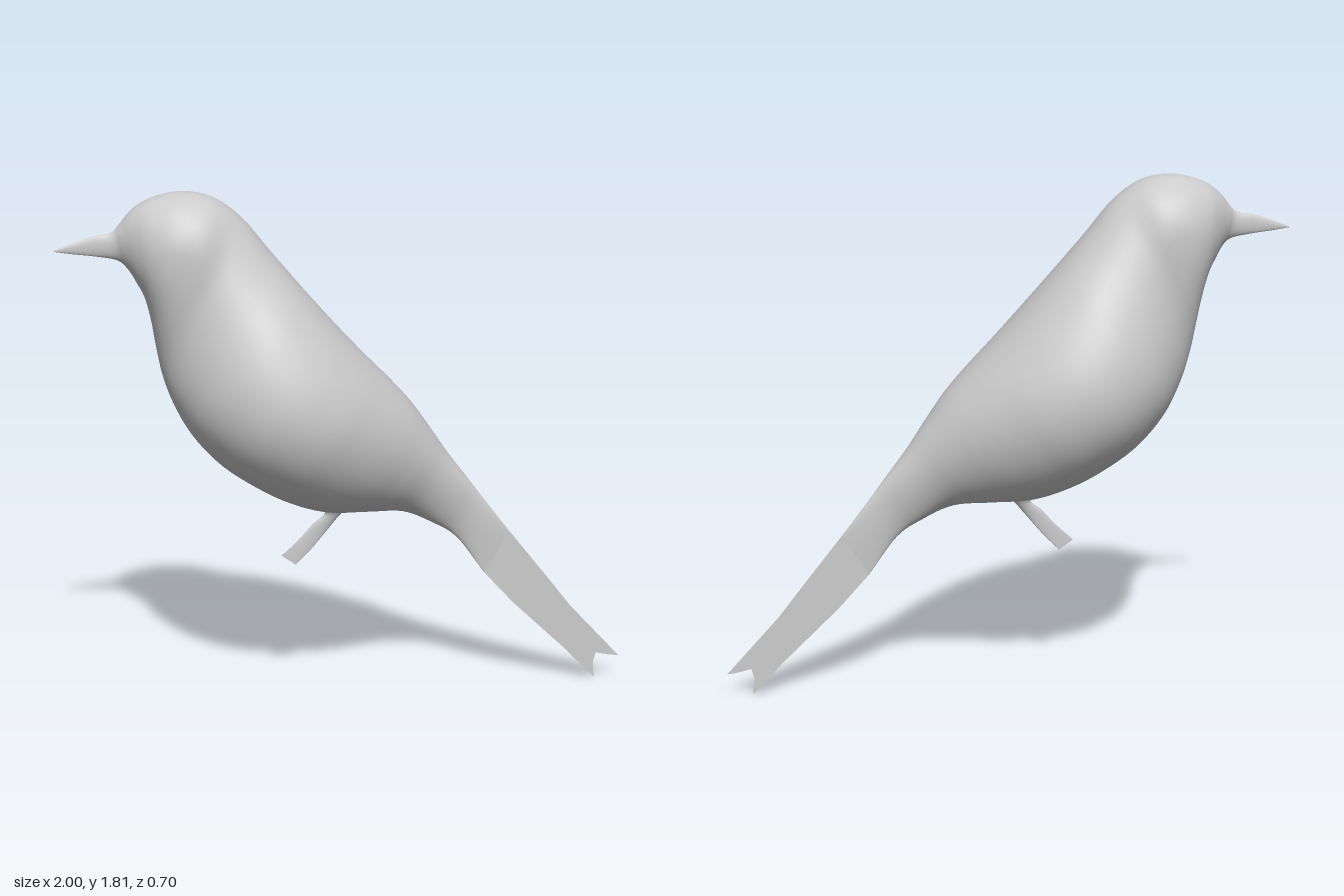
import * as THREE from 'three';

const material = new THREE.MeshStandardMaterial({ color: 0xcccccc, side: THREE.DoubleSide });

// Smooth skin through sections: [topX, topY, bottomX, bottomY, halfWidth, where the widest line lies from top to bottom]
function loft(name, sections, steps, sides) {
  const curve = (pick) => new THREE.CatmullRomCurve3(sections.map((s) => new THREE.Vector3(...pick(s))), false, 'catmullrom', 0.5);
  const top = curve((s) => [s[0], s[1], s[4]]);
  const bottom = curve((s) => [s[2], s[3], s[5] ?? 0.5]);
  const positions = [], index = [];
  for (let i = 0; i <= steps; i++) {
    const t = top.getPoint(i / steps), b = bottom.getPoint(i / steps);
    for (let j = 0; j < sides; j++) {
      const a = (j / sides) * Math.PI * 2, c = Math.cos(a);
      const k = c > 0 ? b.z * (1 - c) : b.z - c * (1 - b.z);
      positions.push(t.x + (b.x - t.x) * k, t.y + (b.y - t.y) * k, Math.max(t.z, 0) * Math.sin(a));
      if (i === steps) continue;
      const p = i * sides + j, q = i * sides + ((j + 1) % sides);
      index.push(p, q, p + sides, q, q + sides, p + sides);
    }
  }
  const geometry = new THREE.BufferGeometry();
  geometry.setAttribute('position', new THREE.Float32BufferAttribute(positions, 3));
  geometry.setIndex(index);
  geometry.computeVertexNormals();
  const mesh = new THREE.Mesh(geometry, material);
  mesh.name = name;
  return mesh;
}

export function createModel() {
  const group = new THREE.Group();
  group.name = 'bird';

  // Beak, head, body and rump in one continuous skin
  group.add(loft('body', [
    [-1.0, 1.617, -1.0, 1.613, 0.001],
    [-0.94, 1.64, -0.94, 1.604, 0.006],
    [-0.87, 1.662, -0.86, 1.594, 0.01],
    [-0.81, 1.673, -0.79, 1.58, 0.022],
    [-0.78, 1.702, -0.755, 1.55, 0.05],
    [-0.74, 1.748, -0.725, 1.5, 0.09],
    [-0.68, 1.785, -0.7, 1.45, 0.135, 0.48],
    [-0.58, 1.808, -0.68, 1.37, 0.174, 0.42],
    [-0.47, 1.79, -0.665, 1.28, 0.188, 0.37],
    [-0.37, 1.72, -0.645, 1.18, 0.19, 0.44],
    [-0.27, 1.6, -0.61, 1.08, 0.245, 0.5],
    [-0.16, 1.47, -0.55, 0.97, 0.318],
    [-0.05, 1.345, -0.45, 0.86, 0.352],
    [0.05, 1.238, -0.32, 0.77, 0.335],
    [0.14, 1.147, -0.2, 0.71, 0.285],
    [0.22, 1.058, -0.08, 0.676, 0.225],
    [0.29, 0.96, 0.06, 0.67, 0.155],
    [0.35, 0.872, 0.19, 0.663, 0.095],
    [0.42, 0.78, 0.3, 0.615, 0.05],
    [0.48, 0.7, 0.39, 0.555, 0.022],
    [0.58, 0.57, 0.49, 0.42, 0.002],
  ], 120, 48));

  // Single thin leg, tapering flat from the belly
  group.add(loft('leg', [
    [0.02, 0.7, -0.13, 0.71, 0.05],
    [-0.025, 0.665, -0.085, 0.668, 0.02],
    [-0.08, 0.6, -0.125, 0.63, 0.008],
    [-0.135, 0.535, -0.18, 0.57, 0.003],
    [-0.19, 0.48, -0.24, 0.515, 0.001],
  ], 16, 16));

  // Paper-thin tail with a forked end
  const outline = [[0.42, 0.77], [0.48, 0.7], [0.58, 0.57], [0.7, 0.42], [0.81, 0.28], [0.995, 0.08],
    [0.955, 0.085], [0.91, 0.095], [0.9, 0.06], [0.905, 0], [0.8, 0.11], [0.6, 0.3], [0.49, 0.42], [0.39, 0.56]];
  const tail = new THREE.Mesh(
    new THREE.ShapeGeometry(new THREE.Shape(outline.map(([x, y]) => new THREE.Vector2(x, y)))), material);
  tail.name = 'tail';
  group.add(tail);

  return group;
}
